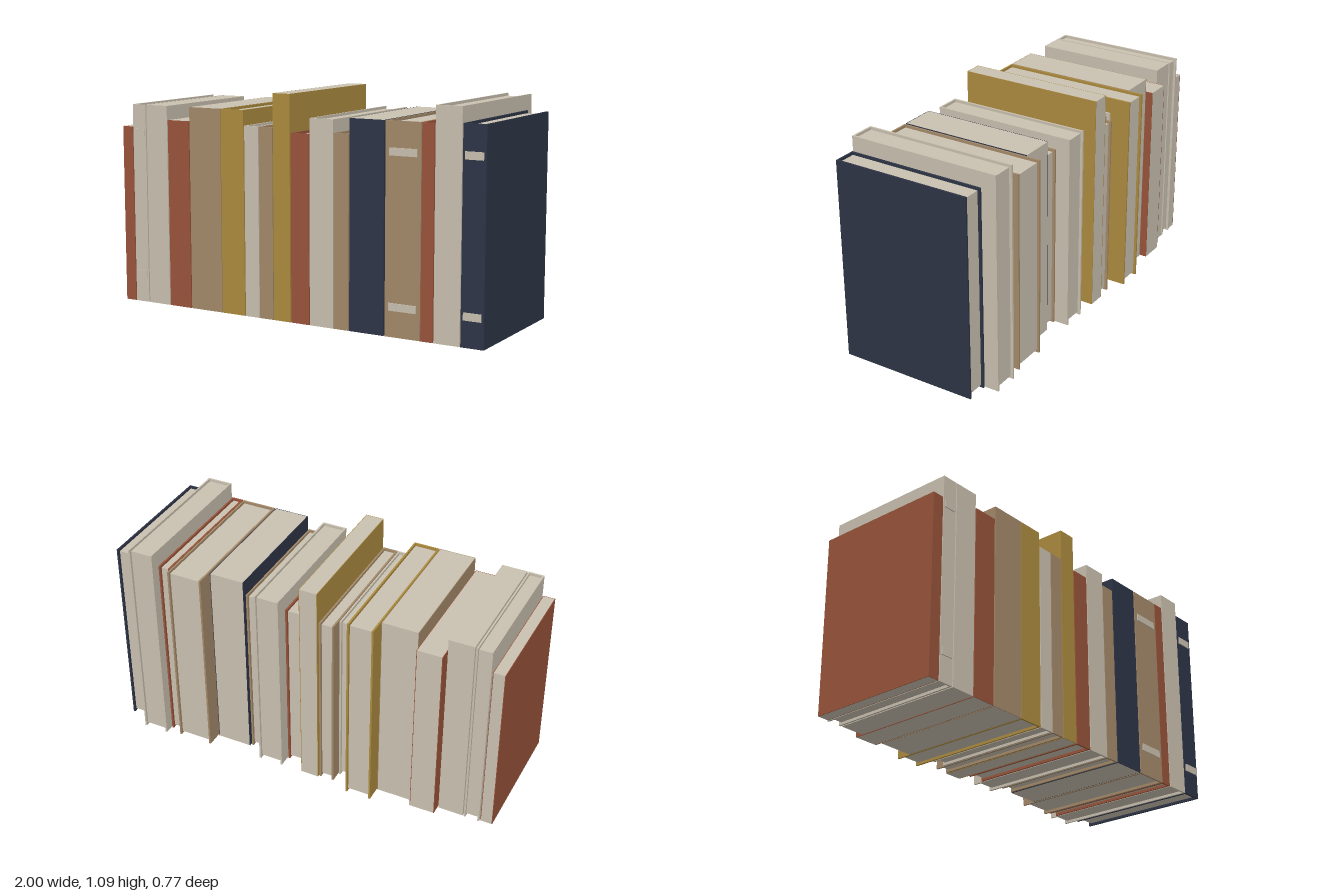
import * as THREE from 'three';

const mat = (name, color) => {
  const m = new THREE.MeshStandardMaterial({ color });
  m.name = name;
  return m;
};

const FRONT = 0.381; // all spines line up here

// x from, x to, height, cover colour, back z, hardcover, decorative bands
const BOOKS = [
  [-1.0, -0.94, 0.89, 'rust', -0.29, false],
  [-0.936, -0.857, 1.003, 'cream', -0.298, true, true],
  [-0.851, -0.725, 1.003, 'cream', -0.295, false],
  [-0.72, -0.593, 0.934, 'rust', -0.341, false],
  [-0.588, -0.405, 1.004, 'tan', -0.306, false],
  [-0.402, -0.27, 1.004, 'gold', -0.386, true],
  [-0.265, -0.186, 0.93, 'cream', -0.286, true],
  [-0.182, -0.106, 0.93, 'tan', -0.341, true],
  [-0.102, -0.009, 1.092, 'gold', -0.35, false],
  [-0.003, 0.095, 0.91, 'rust', -0.29, true],
  [0.1, 0.227, 0.985, 'cream', -0.351, true],
  [0.23, 0.309, 0.923, 'tan', -0.28, true],
  [0.315, 0.495, 0.996, 'navy', -0.29, false],
  [0.502, 0.683, 0.996, 'tan', -0.368, true, true],
  [0.686, 0.747, 0.996, 'rust', -0.341, true],
  [0.752, 0.882, 1.076, 'cream', -0.386, true],
  [0.886, 1.0, 1.003, 'navy', -0.314, true, true],
];

export function createModel() {
  const materials = {
    rust: mat('rust cover', 0x98533a),
    cream: mat('cream cover', 0xc8bfae),
    tan: mat('tan cover', 0xa38969),
    gold: mat('gold cover', 0xab8a3e),
    navy: mat('navy cover', 0x2d3446),
    pages: mat('paper', 0xc9c0af),
  };

  // Box given by its two opposite corners
  const box = (parent, name, material, x0, x1, y0, y1, z0, z1) => {
    const mesh = new THREE.Mesh(new THREE.BoxGeometry(x1 - x0, y1 - y0, z1 - z0), material);
    mesh.name = name;
    mesh.position.set((x0 + x1) / 2, (y0 + y1) / 2, (z0 + z1) / 2);
    parent.add(mesh);
  };

  const row = new THREE.Group();
  row.name = 'bookRow';

  BOOKS.forEach(([x0, x1, h, color, back, hard, bands], i) => {
    const book = new THREE.Group();
    book.name = `book${i + 1}`;
    const cover = materials[color];
    const t = hard ? 0.009 : 0.003; // board thickness
    const inset = hard ? 0.013 : 0; // how far boards overhang the pages

    // Boards and spine
    box(book, 'rightBoard', cover, x0, x0 + t, 0, h, back, FRONT);
    box(book, 'leftBoard', cover, x1 - t, x1, 0, h, back, FRONT);
    box(book, 'spine', cover, x0 + t, x1 - t, 0, h, FRONT - t, FRONT);

    // Page block
    box(book, 'pages', materials.pages, x0 + t, x1 - t, inset, h - inset, back + inset, FRONT - t);

    // Raised bands across the spine
    if (bands) {
      const margin = (x1 - x0) * 0.11;
      for (const y of [h * 0.143, h * 0.86]) {
        box(book, 'spineBand', materials.cream, x0 + margin, x1 - margin, y - 0.018, y + 0.018, FRONT, FRONT + 0.005);
      }
    }
    row.add(book);
  });

  return row;
}
